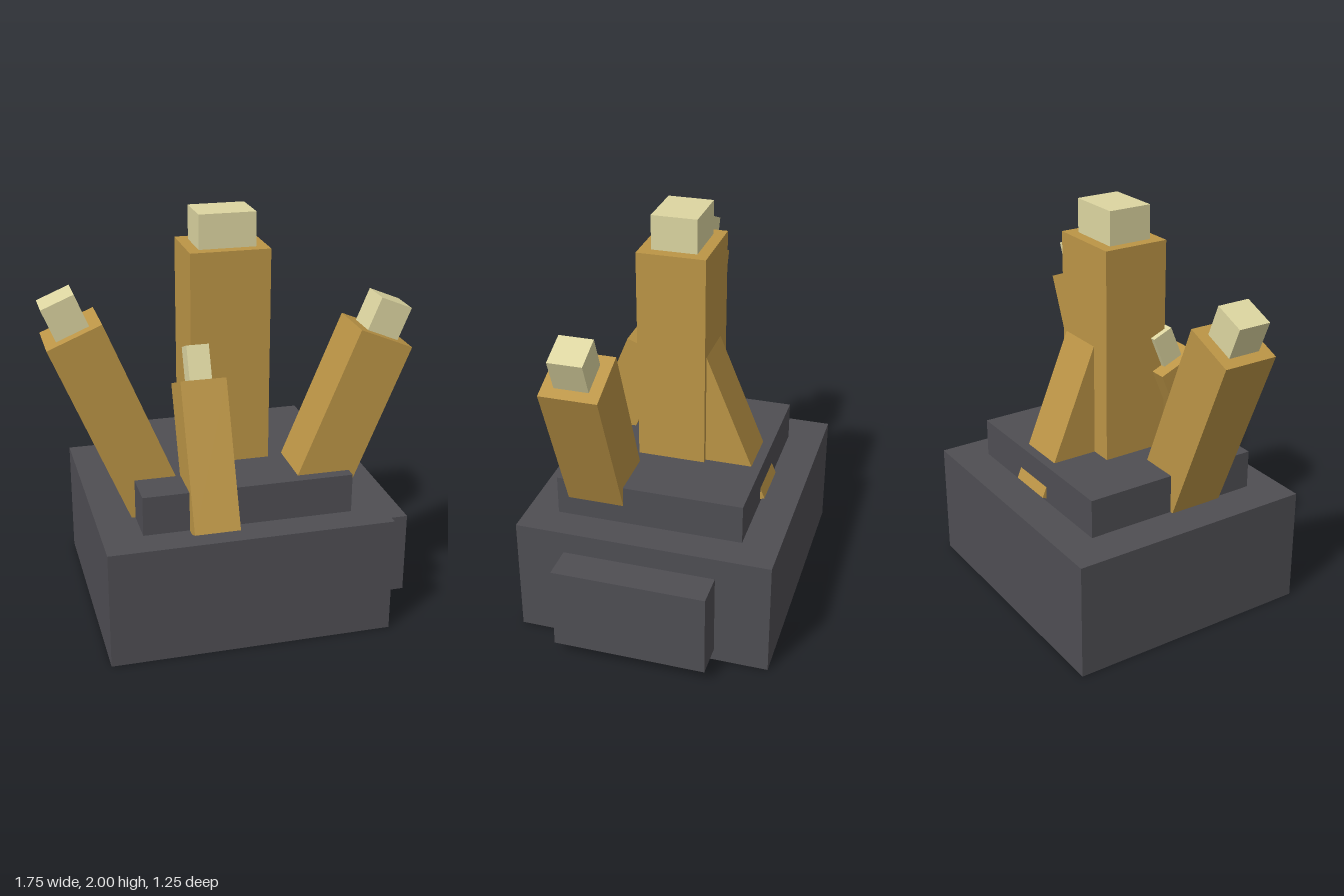
import * as THREE from 'three';

const TILT = Math.PI / 8;

export function createModel() {
  const model = new THREE.Group();
  const stone = new THREE.MeshStandardMaterial({ color: 0x4f4e53 });
  stone.name = 'dark stone';
  const gold = new THREE.MeshStandardMaterial({ color: 0xbc9546 });
  gold.name = 'ochre gold';
  const pale = new THREE.MeshStandardMaterial({ color: 0xddd6a1 });
  pale.name = 'pale tip';

  // Box given by its extents along each axis
  function block(name, material, [x0, x1], [y0, y1], [z0, z1]) {
    const mesh = new THREE.Mesh(new THREE.BoxGeometry(x1 - x0, y1 - y0, z1 - z0), material);
    mesh.position.set((x0 + x1) / 2, (y0 + y1) / 2, (z0 + z1) / 2);
    mesh.name = name;
    model.add(mesh);
  }

  // Leaning square crystal with a smaller tip; the origin is the centre of its top face
  function crystal(name, top, width, length, tipWidth, rotX, rotZ) {
    const group = new THREE.Group();
    group.name = name;
    const shaft = new THREE.Mesh(new THREE.BoxGeometry(width, length, width), gold);
    shaft.position.y = -length / 2;
    shaft.name = 'crystalShaft';
    const tip = new THREE.Mesh(new THREE.BoxGeometry(tipWidth, 0.166, tipWidth), pale);
    tip.position.y = 0.083;
    tip.name = 'crystalTip';
    group.add(shaft, tip);
    group.position.set(...top);
    group.rotation.set(rotX, 0, rotZ);
    model.add(group);
  }

  // Stepped rock base
  block('baseRock', stone, [-0.68, 0.705], [0, 0.585], [-0.625, 0.625]);
  block('upperRock', stone, [-0.485, 0.54], [0.585, 0.78], [-0.445, 0.47]);
  block('sideRock', stone, [0.705, 0.873], [0.06, 0.475], [-0.36, 0.387]);

  // Upright central crystal
  block('centralShaft', gold, [-0.18, 0.207], [0.78, 1.835], [-0.166, 0.166]);
  block('centralTip', pale, [-0.126, 0.15], [1.835, 2], [-0.11, 0.11]);

  // Crystals leaning out to the sides, and in from front and back
  crystal('rightCrystal', [-0.738, 1.513, 0.138], 0.276, 1.02, 0.165, 0, TILT);
  crystal('leftCrystal', [0.703, 1.434, 0.276], 0.276, 0.9, 0.163, 0, -TILT);
  crystal('frontCrystal', [-0.152, 1.229, 0.2], 0.22, 0.715, 0.108, -TILT, 0);
  crystal('backCrystal', [0.055, 1.394, -0.007], 0.25, 0.9, 0.13, TILT, 0);

  return model;
}
